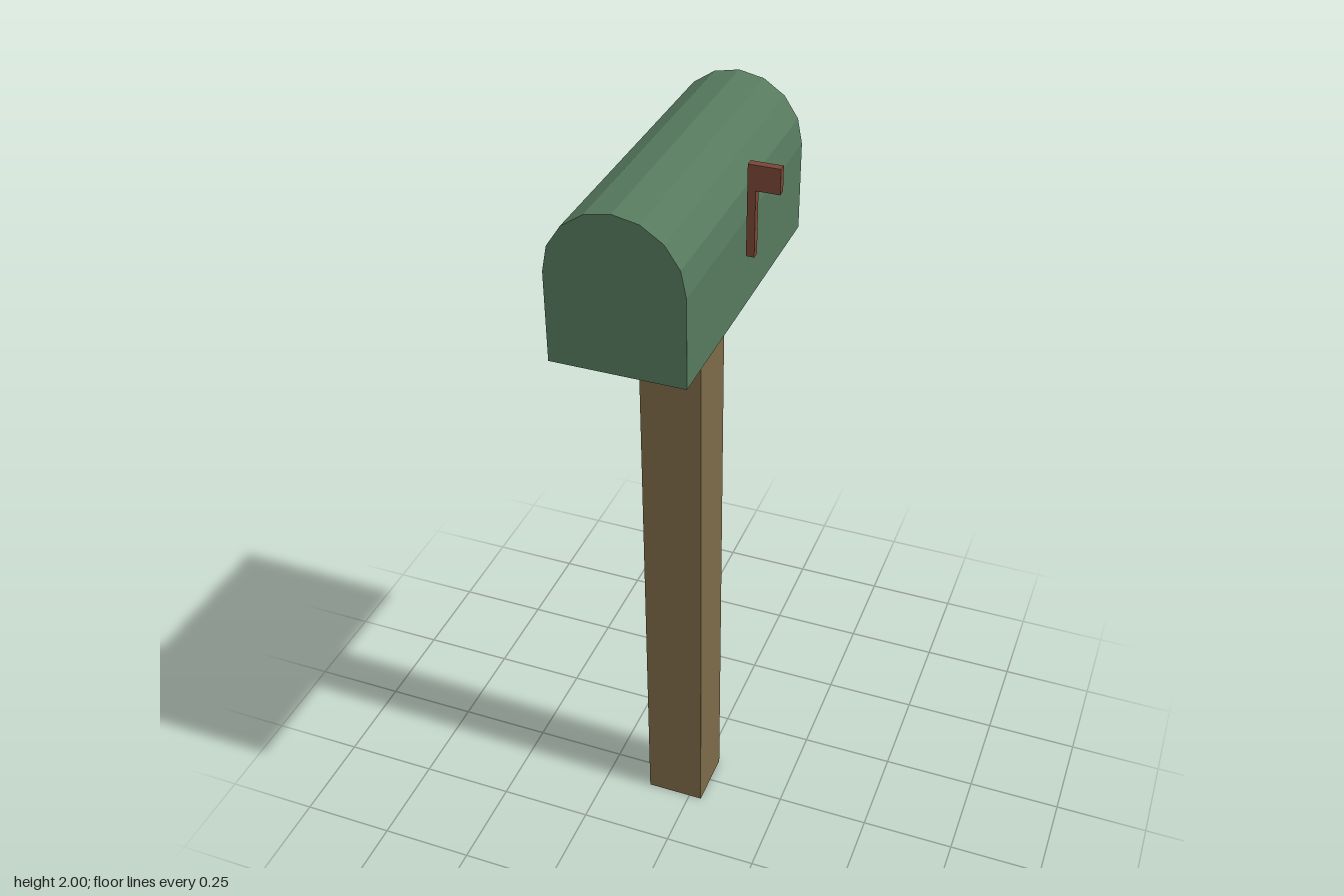
import * as THREE from 'three';

const AXIS_X = -0.043; // centre line of post and box

function part(name, geometry, color) {
  const material = new THREE.MeshStandardMaterial({ color, flatShading: true });
  const mesh = new THREE.Mesh(geometry, material);
  mesh.name = name;
  return mesh;
}

// Extrude a front outline along z, centred on the given z
function slab(shape, depth, z, curveSegments = 1) {
  return new THREE.ExtrudeGeometry(shape, { depth, bevelEnabled: false, curveSegments })
    .translate(0, 0, z - depth / 2);
}

export function createModel() {
  const model = new THREE.Group();
  model.name = 'mailbox';

  // Square wooden post
  const post = part('post', new THREE.BoxGeometry(0.156, 1.62, 0.156), 0x7d6a48);
  post.position.set(AXIS_X, 0.81, 0);
  model.add(post);

  // Box with a faceted arched roof (8 facets)
  const r = 0.16, base = 1.62, spring = 1.84;
  const arch = new THREE.Shape();
  arch.moveTo(AXIS_X - r, base);
  arch.lineTo(AXIS_X + r, base);
  arch.lineTo(AXIS_X + r, spring);
  arch.absarc(AXIS_X, spring, r, 0, Math.PI, false);
  arch.closePath();
  model.add(part('box', slab(arch, 0.766, 0, 4), 0x567a5e));

  // Raised signal flag: thin arm with a plate at the top, beside the box
  const flag = new THREE.Shape([
    [0.128, 1.765], [0.147, 1.765], [0.147, 1.925],
    [0.202, 1.925], [0.202, 1.985], [0.128, 1.985],
  ].map(([x, y]) => new THREE.Vector2(x, y)));
  model.add(part('signalFlag', slab(flag, 0.019, 0.0375), 0x7a4535));

  return model;
}
